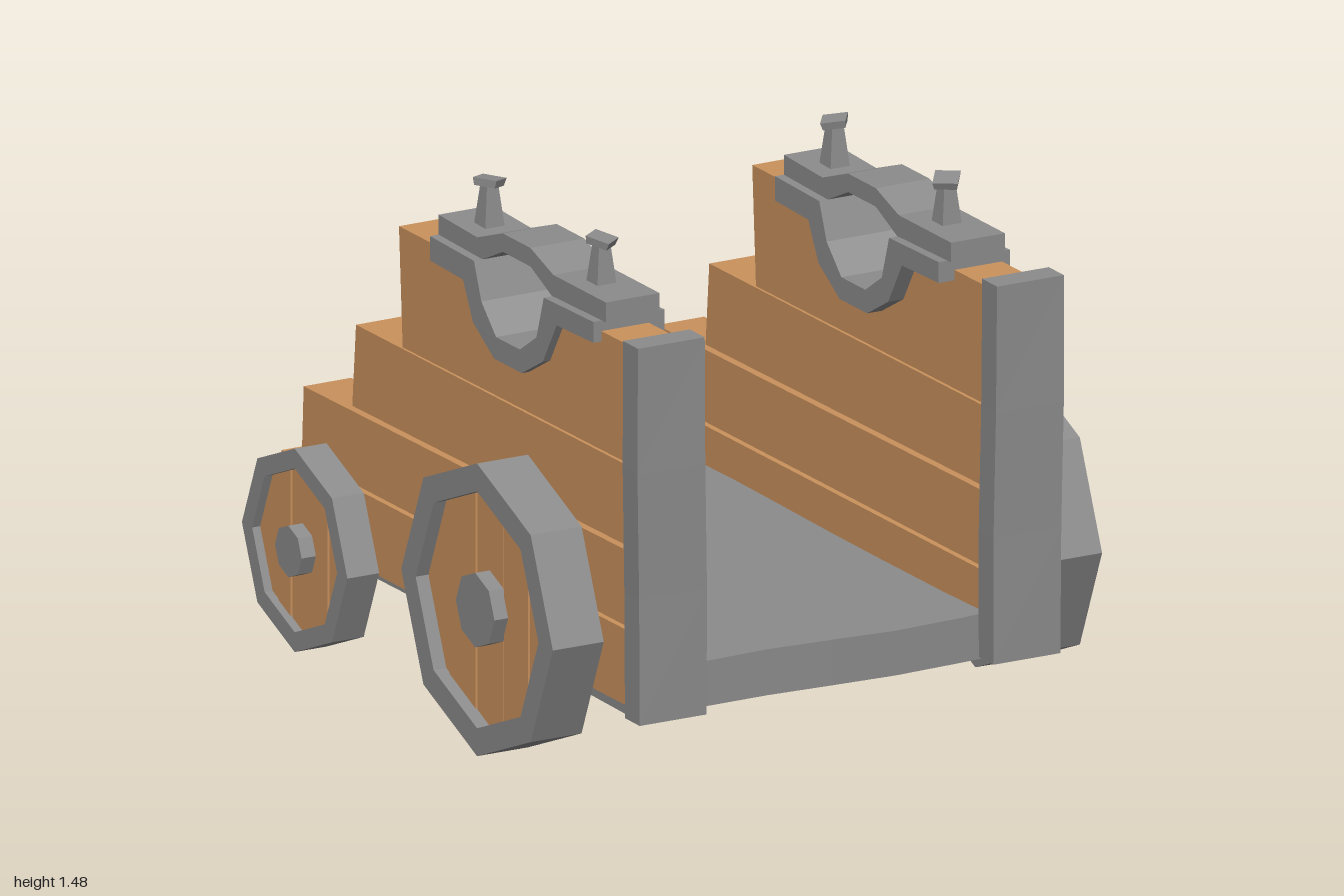
import * as THREE from 'three';

const grey = new THREE.MeshStandardMaterial({ color: 0x8b8b8b });
grey.name = 'iron grey';
const wood = new THREE.MeshStandardMaterial({ color: 0xca915c });
wood.name = 'warm wood';
grey.flatShading = wood.flatShading = true;

function mesh(name, geometry, material, parent) {
  const m = new THREE.Mesh(geometry, material);
  m.name = name;
  parent.add(m);
  return m;
}

const toShape = pts => new THREE.Shape(pts.map(p => new THREE.Vector2(p[0], p[1])));

// Extrude a [z, y] profile sideways, centred on x = 0
function sideways(shape, width) {
  const g = new THREE.ExtrudeGeometry(shape, { depth: width, bevelEnabled: false });
  g.translate(0, 0, -width / 2);
  return g.rotateY(-Math.PI / 2);
}

// Box with its corners moved by a rule
function bent(w, h, d, sx, sy, sz, rule) {
  const g = new THREE.BoxGeometry(w, h, d, sx, sy, sz);
  const p = g.attributes.position, v = new THREE.Vector3();
  for (let i = 0; i < p.count; i++) {
    rule(v.fromBufferAttribute(p, i));
    p.setXYZ(i, v.x, v.y, v.z);
  }
  g.computeVertexNormals();
  return g;
}

const octagon = r => Array.from({ length: 8 }, (_, i) =>
  [r * Math.cos(i * Math.PI / 4), r * Math.sin(i * Math.PI / 4)]);

// Half height of an octagon (corner at the top) at offset u
function octHeight(u, r) {
  const a = Math.abs(u), c = r * Math.SQRT1_2;
  return a < c ? r - a / c * (r - c) : (r - a) / (r - c) * c;
}

// Octagonal rim, five vertical boards, and a hub that reaches the wall
function wheel(name, { side, x, y, z, r, inner, width, hub, cuts, hubIn, hubOut }) {
  const g = new THREE.Group();
  g.name = name;
  const rim = toShape(octagon(r));
  rim.holes.push(new THREE.Path(octagon(inner).map(p => new THREE.Vector2(p[0], p[1]))));
  mesh('rim', sideways(rim, width), grey, g);
  const edges = [-inner, ...cuts, inner], c = inner * Math.SQRT1_2;
  for (let i = 0; i < edges.length - 1; i++) {
    const a = edges[i] + 0.003, b = edges[i + 1] - 0.003;
    const us = [a, ...[-c, 0, c].filter(u => u > a && u < b), b];
    const top = us.map(u => [u, octHeight(u, inner)]);
    const bottom = us.map(u => [u, -octHeight(u, inner)]).reverse();
    mesh('wheelBoard', sideways(toShape([...top, ...bottom]), width * 0.5 + (i % 2) * 0.006), wood, g);
  }
  const axle = mesh('hub', sideways(toShape(octagon(hub)), hubOut - hubIn), grey, g);
  axle.position.x = side * ((hubIn + hubOut) / 2 - x);
  g.position.set(side * x, y, z);
  return g;
}

// Stepped wall planks; the top one is notched for the cradle
const planks = [
  [[0.92, 0.22], [0.92, 0.437], [-1.0, 0.44], [-0.985, 0.225]],
  [[0.92, 0.452], [0.92, 0.67], [-0.87, 0.66], [-0.88, 0.455]],
  [[0.92, 0.68], [0.92, 0.91], [-0.6, 0.91], [-0.62, 0.672]],
  [[0.92, 0.92], [0.92, 1.26], [0.5, 1.26], [0.44, 1.13], [0.34, 1.07], [0.19, 1.07],
    [0.1, 1.14], [0.05, 1.26], [-0.36, 1.26], [-0.34, 0.918]],
];

const cradle = [[0.73, 1.29], [0.46, 1.285], [0.42, 1.16], [0.33, 1.10], [0.2, 1.10], [0.12, 1.18],
  [0.08, 1.285], [-0.16, 1.29], [-0.16, 1.22], [0.02, 1.215], [0.075, 1.107], [0.19, 1.035],
  [0.34, 1.035], [0.455, 1.10], [0.53, 1.225], [0.73, 1.23]];

const strap = [[0.75, 1.347], [0.465, 1.347], [0.34, 1.39], [0.19, 1.39], [0.05, 1.34], [-0.16, 1.347],
  [-0.16, 1.29], [0.075, 1.283], [0.19, 1.337], [0.34, 1.337], [0.46, 1.283], [0.75, 1.29]];

function sideWall(side) {
  const wall = new THREE.Group();
  wall.name = side > 0 ? 'leftWall' : 'rightWall';
  planks.forEach((pts, i) => {
    const p = mesh('wallPlank', sideways(toShape(pts), 0.15), wood, wall);
    p.position.x = [0.002, -0.004, 0.003, -0.002][i];
  });
  wall.position.x = side > 0 ? 0.54 : -0.57;
  wall.rotation.y = 0.016;
  return wall;
}

function clamp(side) {
  const g = new THREE.Group();
  g.name = side > 0 ? 'leftClamp' : 'rightClamp';
  mesh('cradle', sideways(toShape(cradle), 0.225), grey, g);
  mesh('strap', sideways(toShape(strap), 0.17), grey, g);
  // Tapered bolts with tilted square heads
  [0.58, -0.03].forEach((z, i) => {
    const shaft = mesh('boltShaft', new THREE.CylinderGeometry(0.025, 0.045, 0.13, 4), grey, g);
    shaft.position.set(0, 1.395, z);
    shaft.rotation.y = Math.PI / 4;
    const head = mesh('boltHead', new THREE.CylinderGeometry(0.05, 0.044, 0.022, 4), grey, g);
    head.position.set(0, 1.465, z);
    head.rotation.set(i ? -0.08 : 0.15, 0.15 * side, 0.15 * side);
  });
  g.position.x = side > 0 ? 0.53 : -0.555;
  g.rotation.y = 0.01;
  return g;
}

export function createModel() {
  const model = new THREE.Group();
  model.name = 'gunCarriage';

  // Slightly uneven floor slab
  const floor = mesh('floor', bent(1.22, 0.13, 1.78, 6, 1, 3, v => {
    v.y += (v.y > 0 ? 0.006 : 0.004) * Math.sin(v.x * 7 + v.z * 3);
    v.z += 0.008 * Math.cos(v.x * 6);
  }), grey, model);
  floor.position.set(-0.01, 0.257, 0.01);

  for (const side of [1, -1]) {
    model.add(sideWall(side), clamp(side));

    // Front post
    const post = mesh(side > 0 ? 'leftPost' : 'rightPost', bent(0.21, 1.085, 0.082, 1, 3, 1, v => {
      v.x += 0.005 * Math.sin(v.y * 4) * side;
      v.z += 0.004 * Math.sin(v.y * 3 + v.x * 9);
    }), grey, model);
    post.position.set(side * 0.56, 0.745, 0.95);

    model.add(wheel(side > 0 ? 'frontLeftWheel' : 'frontRightWheel', {
      side, x: side > 0 ? 0.785 : 0.792, y: 0.422, z: side > 0 ? 0.44 : 0.46, r: 0.42, inner: 0.34,
      width: 0.16, hub: 0.107, cuts: [-0.22, -0.07, 0.08, 0.22], hubIn: 0.58, hubOut: 0.878,
    }));
    model.add(wheel(side > 0 ? 'backLeftWheel' : 'backRightWheel', {
      side, x: side > 0 ? 0.772 : 0.805, y: 0.3, z: side > 0 ? -0.6 : -0.58, r: 0.292, inner: 0.235,
      width: 0.1, hub: 0.074, cuts: [-0.13, -0.06, 0.075, 0.145], hubIn: 0.56,
      hubOut: side > 0 ? 0.84 : 0.875,
    }));
  }
  return model;
}
